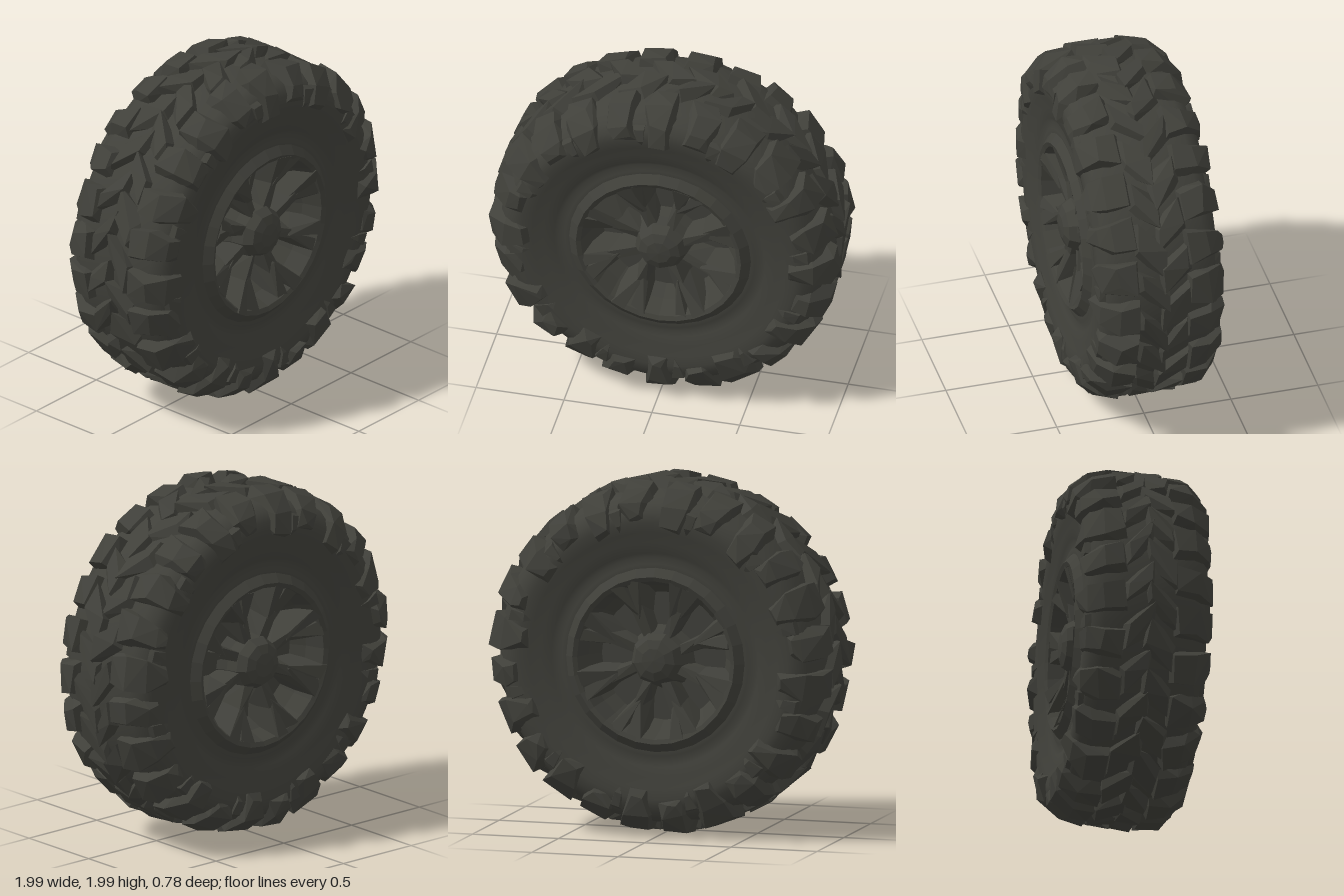
import * as THREE from 'three';
import { mergeGeometries } from 'three/addons/utils/BufferGeometryUtils.js';
import { ConvexGeometry } from 'three/addons/geometries/ConvexGeometry.js';

const rubber = new THREE.MeshStandardMaterial({ color: 0x40403a });
rubber.name = 'dark rubber';
const faceted = rubber.clone();
faceted.name = 'dark rubber';
faceted.flatShading = true;

// small seeded noise for the chipped look of the blocks
let seed = 7;
const rnd = () => (seed = (seed * 16807) % 2147483647) / 2147483647;
const jit = (s) => (rnd() - 0.5) * s;

// point on the wheel: radius, angle, position along the axle
const polar = (r, a, z) => new THREE.Vector3(r * Math.cos(a), r * Math.sin(a), z);

// convex block from [radius, angle, z] corners, slightly roughened
function block(corners, rough = 0.03) {
  return new ConvexGeometry(corners.map(([r, a, z]) =>
    polar(Math.min(r - rnd() * rough, 1), a + jit(rough * 2), z + jit(rough))));
}

// mirrored profile turned around the axle; half runs from the middle outwards as [r, z]
function turned(points, segments) {
  const g = new THREE.LatheGeometry(points.map(([r, z]) => new THREE.Vector2(r, z)), segments);
  return g.rotateX(Math.PI / 2);
}
const mirrored = (half) => [...half.map(([r, z]) => [r, -z]), ...half.slice().reverse()];

export function createModel() {
  const wheel = new THREE.Group();
  wheel.name = 'offRoadWheel';
  wheel.position.y = 1;
  const add = (name, geometry, material) => {
    const m = new THREE.Mesh(geometry, material);
    m.name = name;
    wheel.add(m);
  };

  // tyre body: sidewalls dish inwards towards the bead groove
  add('tyreBody', turned(mirrored([
    [0.5, 0.3], [0.54, 0.305], [0.575, 0.29], [0.6, 0.31], [0.66, 0.318], [0.72, 0.335],
    [0.78, 0.347], [0.83, 0.34], [0.88, 0.31], [0.915, 0.25], [0.935, 0.14], [0.94, 0.04],
  ]), 64), rubber);

  // rim: raised lip, funnel wall and closed centre wall
  add('rim', turned(mirrored([
    [0, 0.14], [0.2, 0.14], [0.36, 0.14], [0.41, 0.22], [0.445, 0.33], [0.47, 0.342], [0.52, 0.3],
  ]), 28), faceted);

  // blunt hub cap on both sides
  add('hub', turned(mirrored([
    [0, 0.348], [0.07, 0.342], [0.12, 0.322], [0.15, 0.27], [0.16, 0.2], [0.19, 0.13],
  ]), 9), faceted);

  const spokes = [], shoulder = [], crown = [], sidewall = [];
  for (const s of [-1, 1]) {
    // spokes rise from the hub and fork around the windows at the lip
    const spokeCount = 8;
    for (let i = 0; i < spokeCount; i++) {
      const a = ((i + 0.5) / spokeCount) * Math.PI * 2;
      spokes.push(block([
        [0.1, a - 0.3, s * 0.12], [0.1, a + 0.3, s * 0.12],
        [0.14, a - 0.2, s * 0.27], [0.14, a + 0.2, s * 0.27],
        [0.32, a - 0.09, s * 0.275], [0.32, a + 0.09, s * 0.275],
        [0.32, a - 0.17, s * 0.12], [0.32, a + 0.17, s * 0.12],
      ]));
      for (const k of [-1, 1]) {
        spokes.push(block([
          [0.24, a - k * 0.06, s * 0.12], [0.24, a + k * 0.14, s * 0.12],
          [0.26, a - k * 0.04, s * 0.275], [0.27, a + k * 0.08, s * 0.265],
          [0.47, a + k * 0.02, s * 0.335], [0.47, a + k * 0.2, s * 0.335],
          [0.42, a + k * 0.02, s * 0.12], [0.42, a + k * 0.26, s * 0.12],
        ]));
      }
    }

    // shoulder and crown blocks, staggered from side to side
    const count = 24, step = (Math.PI * 2) / count;
    for (let i = 0; i < count; i++) {
      const a = (i + (s > 0 ? 0 : 0.5)) * step;
      const long = i % 2 === 0;
      const low = long ? 0.78 : 0.83;
      const zLow = long ? 0.378 : 0.37;
      const lug = [];
      for (const k of [-1, 1]) {
        const w = k * (long ? 0.08 : 0.07), b = k * 0.11;
        lug.push(
          [0.9, a + b, s * 0.12], [0.88, a + b, s * 0.28], [low - 0.03, a + b * 0.7, s * 0.335],
          [1, a + w, s * 0.15], [0.985, a + w, s * 0.265],
          [0.9, a + w, s * 0.352], [low, a + w * 0.6, s * zLow]);
      }
      shoulder.push(block(lug));

      // slanted inner blocks that interlock as chevrons across the crown
      const c = a + step * 0.5, slant = 0.1;
      const inner = [];
      for (const k of [-1, 1]) {
        const w = k * 0.065;
        inner.push(
          [0.92, c + w * 1.5 + slant, s * 0.16], [0.92, c + w * 1.5 - slant * 0.6, s * -0.03],
          [1, c + w + slant, s * 0.13], [1, c + w - slant * 0.6, s * -0.01]);
      }
      crown.push(block(inner));

      // low ribs running down the sidewall between the blocks
      if (long) {
        sidewall.push(block([
          [0.88, c - 0.05, s * 0.29], [0.88, c + 0.05, s * 0.29],
          [0.86, c - 0.04, s * 0.35], [0.86, c + 0.04, s * 0.35],
          [0.78, c - 0.02, s * 0.36], [0.78, c + 0.03, s * 0.36],
          [0.74, c, s * 0.335],
        ], 0.01));
      }
    }
  }
  add('spokes', mergeGeometries(spokes), faceted);
  add('shoulderBlocks', mergeGeometries(shoulder), faceted);
  add('crownBlocks', mergeGeometries(crown), faceted);
  add('sidewallRibs', mergeGeometries(sidewall), faceted);

  const model = new THREE.Group();
  model.add(wheel);
  return model;
}
